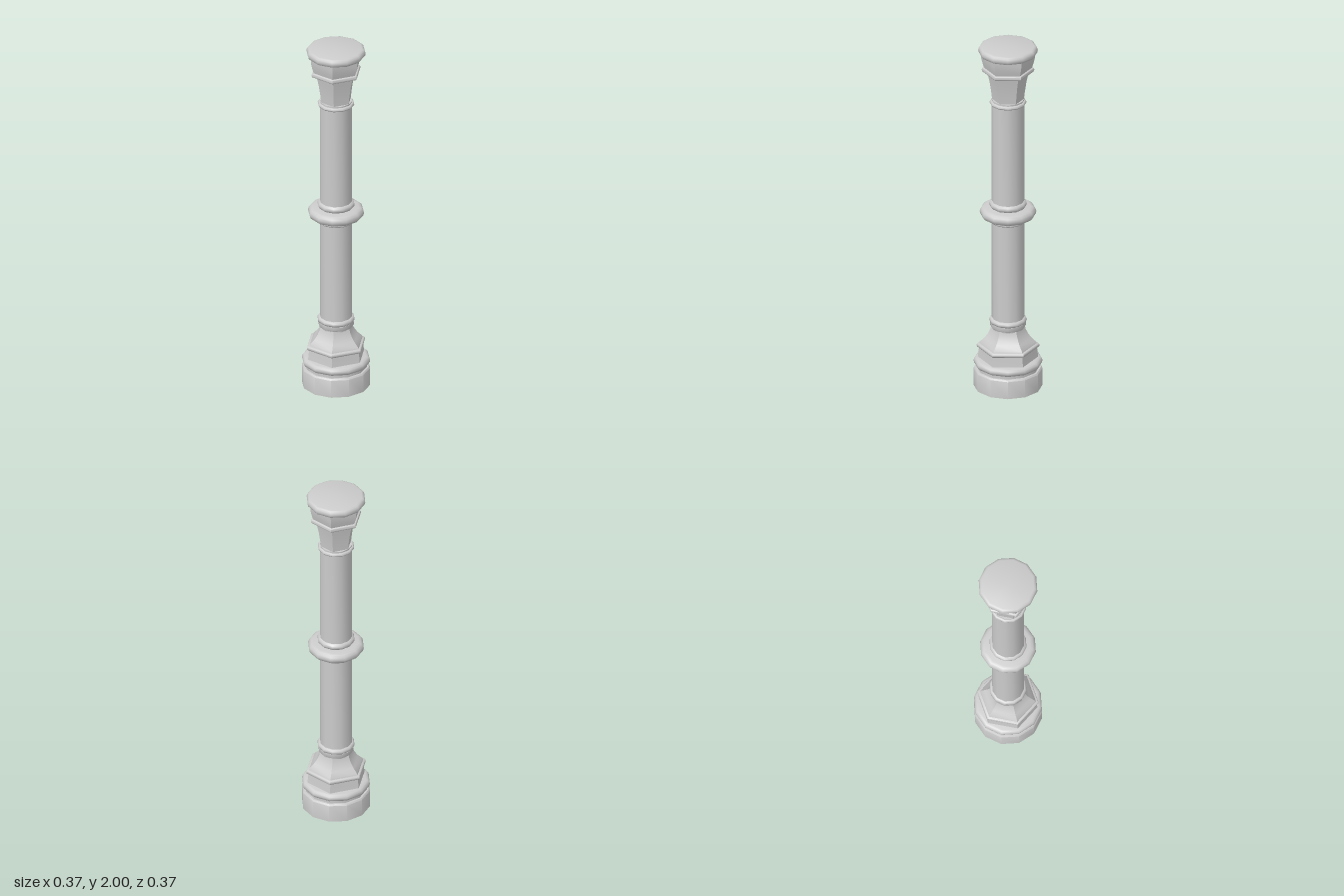
import * as THREE from 'three';
import { toCreasedNormals } from 'three/addons/utils/BufferGeometryUtils.js';

const material = new THREE.MeshStandardMaterial({ color: 0xcccccc });

// Turned part: closed profile of [radius, y] from bottom to top
function turned(name, sides, profile) {
  const points = [[0, profile[0][1]], ...profile, [0, profile[profile.length - 1][1]]]
    .map(([r, y]) => new THREE.Vector2(r, y));
  const geometry = toCreasedNormals(new THREE.LatheGeometry(points, sides), 0.75);
  const mesh = new THREE.Mesh(geometry, material);
  mesh.name = name;
  return mesh;
}

// Half-round moulding profile between two heights, bulging to the outer radius
function bulge(outer, y0, y1, depth = (y1 - y0) / 2) {
  const points = [];
  for (let i = 0; i <= 6; i++) {
    const a = -Math.PI / 2 + (i * Math.PI) / 6;
    points.push([outer - depth + depth * Math.cos(a), (y0 + y1) / 2 + ((y1 - y0) / 2) * Math.sin(a)]);
  }
  return points;
}

export function createModel() {
  const group = new THREE.Group();
  const round = (name, profile) => group.add(turned(name, 12, profile));
  const hexagonal = (name, profile) => group.add(turned(name, 6, profile));

  // Round foot
  round('baseDrum', [[0.185, 0], [0.185, 0.1], [0.178, 0.108]]);
  round('baseNeck', [[0.168, 0.1], [0.168, 0.13]]);
  round('baseMoulding', bulge(0.185, 0.123, 0.167));

  // Six-sided pedestal with a concave flare
  hexagonal('pedestalFoot', [[0.163, 0.16], [0.16, 0.18], [0.155, 0.23]]);
  hexagonal('pedestalBand', bulge(0.168, 0.224, 0.246, 0.006));
  hexagonal('pedestalFlare', [
    [0.155, 0.24], [0.15, 0.255], [0.125, 0.28], [0.107, 0.305], [0.095, 0.33], [0.088, 0.356],
  ]);

  // Shaft and its rings
  round('shaft', [[0.087, 0.34], [0.087, 1.69]]);
  round('lowerCollar', [[0.092, 0.348], [0.096, 0.355], [0.096, 0.375]]);
  round('lowerRing', bulge(0.101, 0.372, 0.404));
  round('middleLowerRing', bulge(0.101, 0.97, 0.988));
  round('middleNeck', [[0.108, 0.985], [0.114, 1.005]]);
  round('middleMoulding', bulge(0.152, 0.997, 1.055));
  round('middleUpperRing', bulge(0.101, 1.053, 1.092));
  round('upperRing', bulge(0.099, 1.661, 1.682));

  // Six-sided capital
  hexagonal('capitalBell', [[0.084, 1.675], [0.09, 1.73], [0.099, 1.79], [0.113, 1.855]]);
  hexagonal('capitalBand', bulge(0.141, 1.85, 1.874, 0.006));
  hexagonal('capitalHead', [[0.128, 1.87], [0.134, 1.89], [0.143, 1.925], [0.145, 1.96]]);

  // Round top slab
  round('topSlab', bulge(0.16, 1.955, 2, 0.018));

  return group;
}
